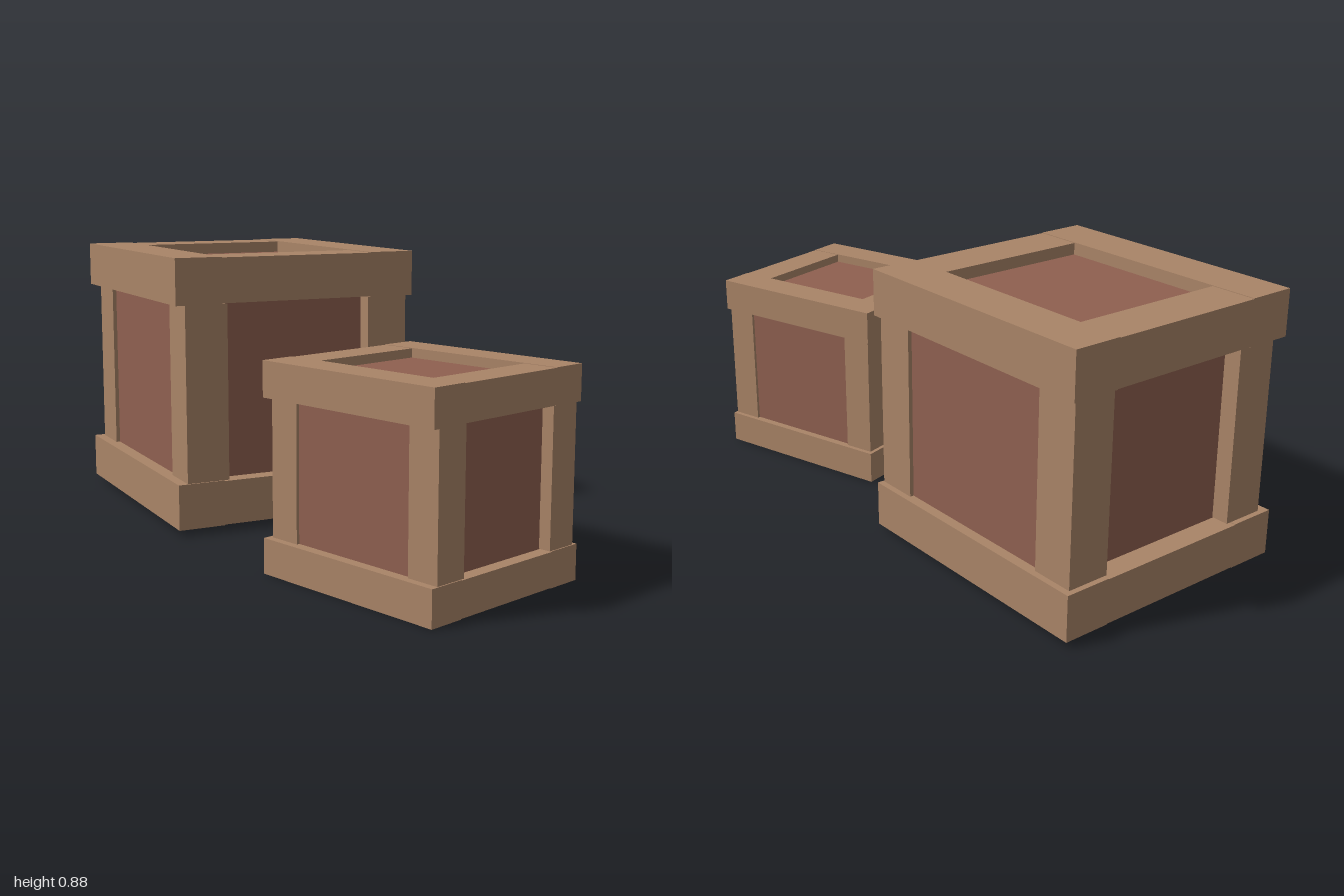
import * as THREE from 'three';

const frame = new THREE.MeshStandardMaterial({ color: 0xa98467, flatShading: true });
const panel = new THREE.MeshStandardMaterial({ color: 0x8f6050, flatShading: true });

// crate size, beam section and post section
const W = 0.834, D = 0.897, H = 0.858;
const BEAM_W = 0.155, BEAM_H = 0.147, POST = 0.141;
// outer limits of the posts, slightly inside the rims
const X0 = -W / 2 + 0.032, X1 = W / 2 - 0.021;
const Z0 = -D / 2 + 0.018, Z1 = D / 2 - 0.005;

// box spanning two opposite corners
function block(parent, name, material, [x0, y0, z0], [x1, y1, z1]) {
  const mesh = new THREE.Mesh(new THREE.BoxGeometry(x1 - x0, y1 - y0, z1 - z0), material);
  mesh.position.set((x0 + x1) / 2, (y0 + y1) / 2, (z0 + z1) / 2);
  mesh.name = name;
  parent.add(mesh);
}

// square rim: two full-length side beams with two shorter beams between them
function rim(name, y) {
  const group = new THREE.Group();
  group.name = name;
  const w = W / 2, d = D / 2, inset = 0.002;
  for (const s of [-1, 1]) {
    const xc = s * (w - BEAM_W / 2), zc = s * (d - BEAM_W / 2);
    block(group, 'sideBeam', frame,
      [xc - BEAM_W / 2, y, -d], [xc + BEAM_W / 2, y + BEAM_H, d]);
    block(group, 'crossBeam', frame,
      [-w + BEAM_W, y + inset, zc - BEAM_W / 2], [w - BEAM_W, y + BEAM_H - inset, zc + BEAM_W / 2]);
  }
  return group;
}

function crate(name) {
  const group = new THREE.Group();
  group.name = name;
  group.add(rim('bottomRim', 0), rim('topRim', H - BEAM_H));

  // corner posts between the rims
  for (const x of [X0, X1 - POST])
    for (const z of [Z0, Z1 - POST])
      block(group, 'cornerPost', frame, [x, BEAM_H, z], [x + POST, H - BEAM_H, z + POST]);

  // inner box, recessed behind the frame on every side
  block(group, 'innerPanels', panel,
    [X0 + 0.013, 0.04, Z0 + 0.057], [X1 - 0.013, H - 0.04, Z1 - 0.052]);
  return group;
}

export function createModel() {
  const model = new THREE.Group();
  model.name = 'crates';

  const large = crate('largeCrate');
  large.position.set(0.015, 0.018, -0.464);
  large.rotation.y = -0.245;

  const small = crate('smallCrate');
  small.scale.setScalar(0.721);
  small.position.set(-0.219, 0, 0.659);
  small.rotation.y = 0.049;

  model.add(large, small);
  return model;
}
